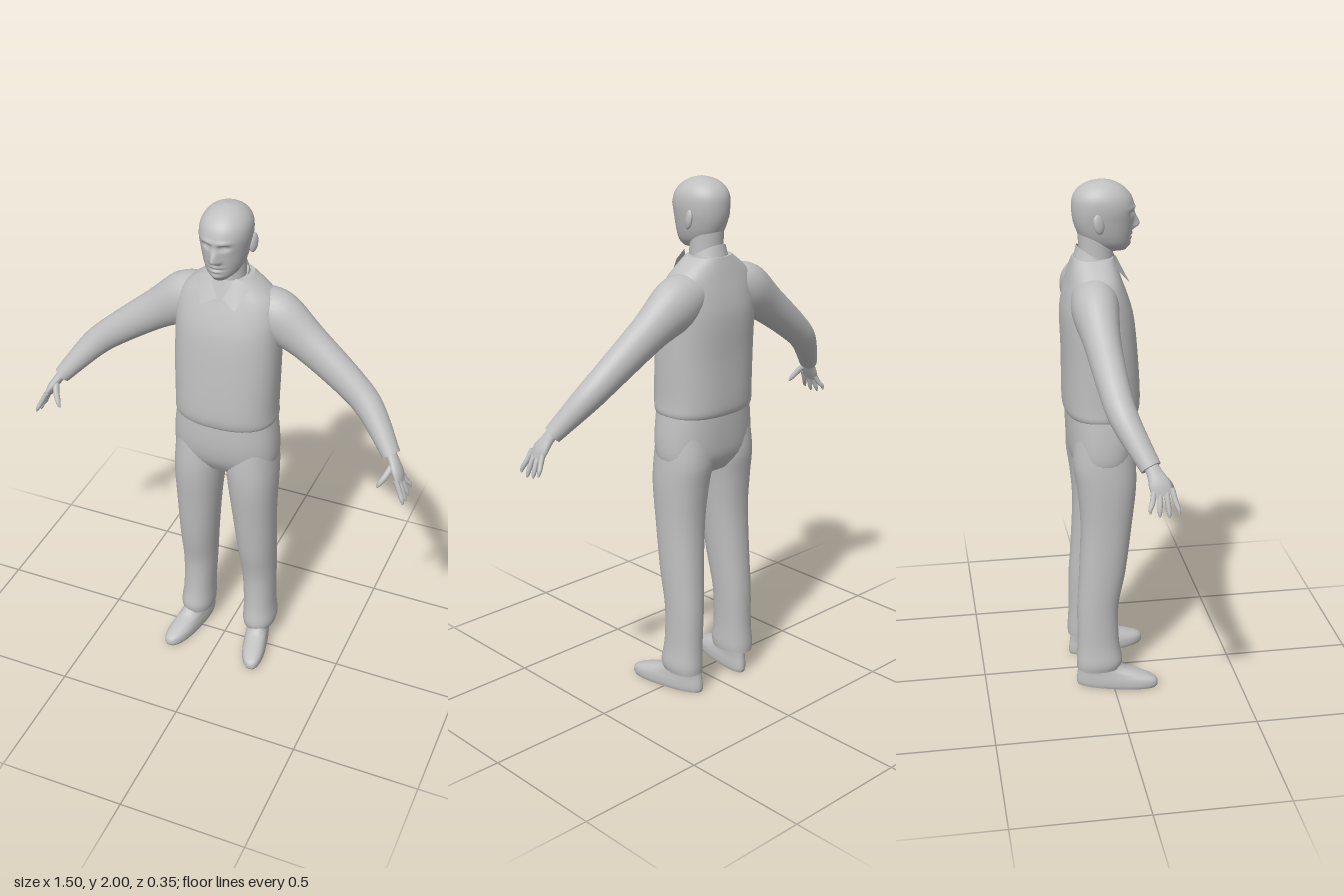
import * as THREE from 'three';

const grey = new THREE.MeshStandardMaterial({ color: 0xc0c0c0 });
grey.name = 'plain grey';
const greyTwoSided = grey.clone();
greyTwoSided.side = THREE.DoubleSide;

// Smoothly resample rows of numbers (Catmull-Rom), n steps per span.
function resample(rows, n) {
  const out = [];
  const at = i => rows[Math.max(0, Math.min(rows.length - 1, i))];
  for (let i = 0; i < rows.length - 1; i++) {
    for (let k = 0; k < n; k++) {
      const t = k / n;
      out.push(at(i).map((b, j) => {
        const a = at(i - 1)[j], c = at(i + 1)[j], d = at(i + 2)[j];
        return b + 0.5 * t * (c - a + t * (2 * a - 5 * b + 4 * c - d + t * (3 * (b - c) + d - a)));
      }));
    }
  }
  out.push(at(rows.length - 1));
  return out;
}

// Skin a list of point rings, optionally closing both ends with flat caps.
function skin(name, rings, { caps = true, material = grey } = {}) {
  const n = rings[0].length, pos = [], idx = [];
  rings.forEach(r => r.forEach(p => pos.push(p.x, p.y, p.z)));
  for (let i = 0; i < rings.length - 1; i++) {
    for (let j = 0; j < n; j++) {
      const a = i * n + j, b = i * n + (j + 1) % n;
      idx.push(a, a + n, b, b, a + n, b + n);
    }
  }
  if (caps) {
    [rings[0], rings[rings.length - 1]].forEach((ring, end) => {
      const base = pos.length / 3, mid = new THREE.Vector3();
      ring.forEach(p => { mid.addScaledVector(p, 1 / n); pos.push(p.x, p.y, p.z); });
      pos.push(mid.x, mid.y, mid.z);
      for (let j = 0; j < n; j++) {
        const a = base + j, b = base + (j + 1) % n;
        if (end) idx.push(base + n, b, a); else idx.push(base + n, a, b);
      }
    });
  }
  const geo = new THREE.BufferGeometry();
  geo.setAttribute('position', new THREE.Float32BufferAttribute(pos, 3));
  geo.setIndex(idx);
  geo.computeVertexNormals();
  const mesh = new THREE.Mesh(geo, material);
  mesh.name = name;
  return mesh;
}

const rounded = (v, p) => Math.sign(v) * Math.abs(v) ** (2 / p);

// Horizontal sections: rows of [y, centreX, halfWidth, frontZ, backZ].
function stack(name, rows, { p = 2, seg = 32, steps = 4, warp = null, ...opts } = {}) {
  const rings = resample(rows, steps).map(([y, cx, rx, zf, zb]) =>
    Array.from({ length: seg }, (_, j) => {
      const a = j / seg * Math.PI * 2;
      const v = new THREE.Vector3(cx + rx * rounded(Math.cos(a), p), y,
        (zf + zb) / 2 + (zf - zb) / 2 * rounded(Math.sin(a), p));
      if (warp) warp(v);
      return v;
    }));
  return skin(name, rings, opts);
}

// Sections square to a path: rows of [x, y, z, thickness, breadth along z].
function limb(name, rows, side, seg = 20, steps = 4) {
  const pts = resample(rows.map(([x, ...r]) => [x * side, ...r]), steps);
  const c = pts.map(r => new THREE.Vector3(r[0], r[1], r[2]));
  const rings = pts.map((r, i) => {
    const t = c[Math.min(i + 1, c.length - 1)].clone().sub(c[Math.max(i - 1, 0)]).normalize();
    const u = t.clone().cross(new THREE.Vector3(0, 0, 1)).normalize();
    const v = u.clone().cross(t);
    return Array.from({ length: seg }, (_, j) => {
      const a = j / seg * Math.PI * 2;
      return c[i].clone().addScaledVector(u, r[3] * Math.cos(a)).addScaledVector(v, r[4] * Math.sin(a));
    });
  });
  return skin(name, rings);
}

// Facial relief: nose, brow, eye sockets, lips and chin.
function sculptFace(v) {
  if (v.z < 0.02) return;
  const x = Math.abs(v.x);
  const bump = (cx, cy, sx, sy) => Math.exp(-(((x - cx) / sx) ** 2) - ((v.y - cy) / sy) ** 2);
  v.z += 0.028 * bump(0, 1.832, 0.015, v.y > 1.832 ? 0.035 : 0.011)
    + 0.008 * bump(0.014, 1.826, 0.009, 0.009)
    + 0.006 * bump(0.03, 1.9, 0.026, 0.008)
    - 0.013 * bump(0.033, 1.882, 0.017, 0.01)
    + 0.004 * bump(0.032, 1.88, 0.009, 0.005)
    + 0.007 * bump(0, 1.802, 0.022, 0.006)
    - 0.006 * bump(0, 1.794, 0.026, 0.004)
    + 0.006 * bump(0, 1.786, 0.02, 0.006)
    + 0.006 * bump(0, 1.763, 0.02, 0.01);
}

export function createModel() {
  const model = new THREE.Group();
  model.name = 'standingMan';

  // Head and neck
  model.add(stack('head', [
    [1.743, 0, 0.03, 0.068, -0.03], [1.765, 0, 0.056, 0.08, -0.075], [1.8, 0, 0.073, 0.086, -0.105],
    [1.85, 0, 0.085, 0.092, -0.125], [1.9, 0, 0.092, 0.097, -0.131], [1.94, 0, 0.088, 0.086, -0.126],
    [1.97, 0, 0.07, 0.06, -0.105], [1.99, 0, 0.042, 0.025, -0.07], [2, 0, 0.004, -0.015, -0.024],
  ], { seg: 96, steps: 9, p: 2.1, warp: sculptFace }));
  model.add(stack('neck', [[1.62, 0, 0.07, 0.025, -0.11], [1.72, 0, 0.062, 0.02, -0.105], [1.81, 0, 0.062, 0.02, -0.11]]));

  // Sweater body and trouser seat
  model.add(stack('sweaterBody', [
    [1.125, 0, 0.185, 0.1, -0.156], [1.145, 0, 0.198, 0.112, -0.168], [1.2, 0, 0.197, 0.117, -0.172],
    [1.35, 0, 0.2, 0.108, -0.172], [1.5, 0, 0.2, 0.092, -0.176], [1.58, 0, 0.198, 0.07, -0.166],
    [1.64, 0, 0.18, 0.048, -0.152], [1.68, 0, 0.14, 0.034, -0.142], [1.72, 0, 0.085, 0.02, -0.13],
  ], { p: 2.4, seg: 48 }));
  model.add(stack('trouserSeat', [
    [0.9, 0, 0.17, 0.055, -0.11], [0.96, 0, 0.203, 0.09, -0.148],
    [1.05, 0, 0.205, 0.105, -0.158], [1.17, 0, 0.19, 0.104, -0.16],
  ], { p: 2.4, seg: 48 }));

  // Collar band, low at the throat and high at the nape
  model.add(stack('collarBand', [[1.672, 0, 0.084, 0.04, -0.126], [1.7, 0, 0.075, 0.032, -0.12], [1.725, 0, 0.068, 0.026, -0.115]],
    { caps: false, material: greyTwoSided, warp: v => { v.y -= 0.6 * (v.z + 0.05); } }));

  for (const s of [1, -1]) {
    const side = s > 0 ? 'left' : 'right';

    // Collar wing
    const wing = new THREE.BufferGeometry();
    wing.setAttribute('position', new THREE.Float32BufferAttribute([
      0.01 * s, 1.66, 0.052, 0.066 * s, 1.632, 0.072, 0.105 * s, 1.708, 0.004, 0.05 * s, 1.735, 0.02], 3));
    wing.setIndex(s > 0 ? [0, 1, 3, 1, 2, 3] : [0, 3, 1, 1, 3, 2]);
    wing.computeVertexNormals();
    const wingMesh = new THREE.Mesh(wing, greyTwoSided);
    wingMesh.name = side + 'CollarWing';
    model.add(wingMesh);

    // Ear
    const ear = new THREE.Mesh(new THREE.SphereGeometry(1, 20, 14), grey);
    ear.name = side + 'Ear';
    ear.scale.set(0.011, 0.036, 0.021);
    ear.position.set(0.09 * s, 1.855, -0.045);
    ear.rotation.set(-0.2, -0.35 * s, 0);
    model.add(ear);

    // Sleeve
    model.add(limb(side + 'Sleeve', [
      [0.09, 1.6, -0.065, 0.075, 0.08], [0.175, 1.565, -0.07, 0.1, 0.085], [0.3, 1.485, -0.065, 0.076, 0.066],
      [0.47, 1.362, -0.048, 0.06, 0.055], [0.56, 1.285, -0.025, 0.052, 0.05], [0.667, 1.16, 0.042, 0.033, 0.037],
    ], s, 28, 6));

    // Hand
    model.add(limb(side + 'Palm', [
      [0.655, 1.178, 0.036, 0.02, 0.024], [0.68, 1.145, 0.052, 0.018, 0.028],
      [0.702, 1.11, 0.066, 0.017, 0.038], [0.718, 1.075, 0.076, 0.01, 0.035],
    ], s));
    for (let i = 0; i < 4; i++) {
      const z = 0.046 + 0.02 * i, spread = 0.006 * (i - 1.5), drop = [0.018, 0.004, 0, 0.01][i];
      model.add(limb(side + 'Finger' + (i + 1), [
        [0.708, 1.1, z, 0.01, 0.01], [0.728, 1.06, z + spread, 0.0095, 0.0095],
        [0.741, 1.025 + drop, z + 2 * spread, 0.008, 0.008], [0.747, 1.008 + drop, z + 2.2 * spread, 0.003, 0.003],
      ], s, 10));
    }
    model.add(limb(side + 'Thumb', [
      [0.682, 1.14, 0.065, 0.012, 0.014], [0.67, 1.11, 0.095, 0.012, 0.012],
      [0.653, 1.08, 0.115, 0.01, 0.01], [0.644, 1.062, 0.124, 0.003, 0.003],
    ], s, 10));

    // Trouser leg
    model.add(stack(side + 'TrouserLeg', [
      [0.085, 0.138, 0.062, 0.03, -0.143], [0.12, 0.139, 0.067, 0.037, -0.144], [0.2, 0.135, 0.063, 0.024, -0.14],
      [0.35, 0.13, 0.067, 0.022, -0.139], [0.5, 0.125, 0.075, 0.05, -0.13], [0.7, 0.117, 0.086, 0.075, -0.122],
      [0.85, 0.111, 0.097, 0.091, -0.134], [0.95, 0.104, 0.101, 0.09, -0.148], [1.06, 0.1, 0.095, 0.08, -0.14],
    ].map(([y, cx, ...r]) => [y, cx * s, ...r]), { p: 2.2 }));

    // Shoe, toes turned out
    model.add(stack(side + 'Shoe', [
      [0, 0, 0.044, 0.168, -0.138], [0.014, 0, 0.048, 0.174, -0.142], [0.038, 0, 0.048, 0.165, -0.141],
      [0.06, 0, 0.045, 0.115, -0.138], [0.085, 0, 0.043, 0.045, -0.135], [0.13, 0, 0.04, 0.015, -0.13],
    ], {
      p: 2.3,
      warp: v => { v.x = s * (0.146 + 0.2 * v.z) + v.x * (1 + 0.6 * v.z); },
    }));
  }
  return model;
}
